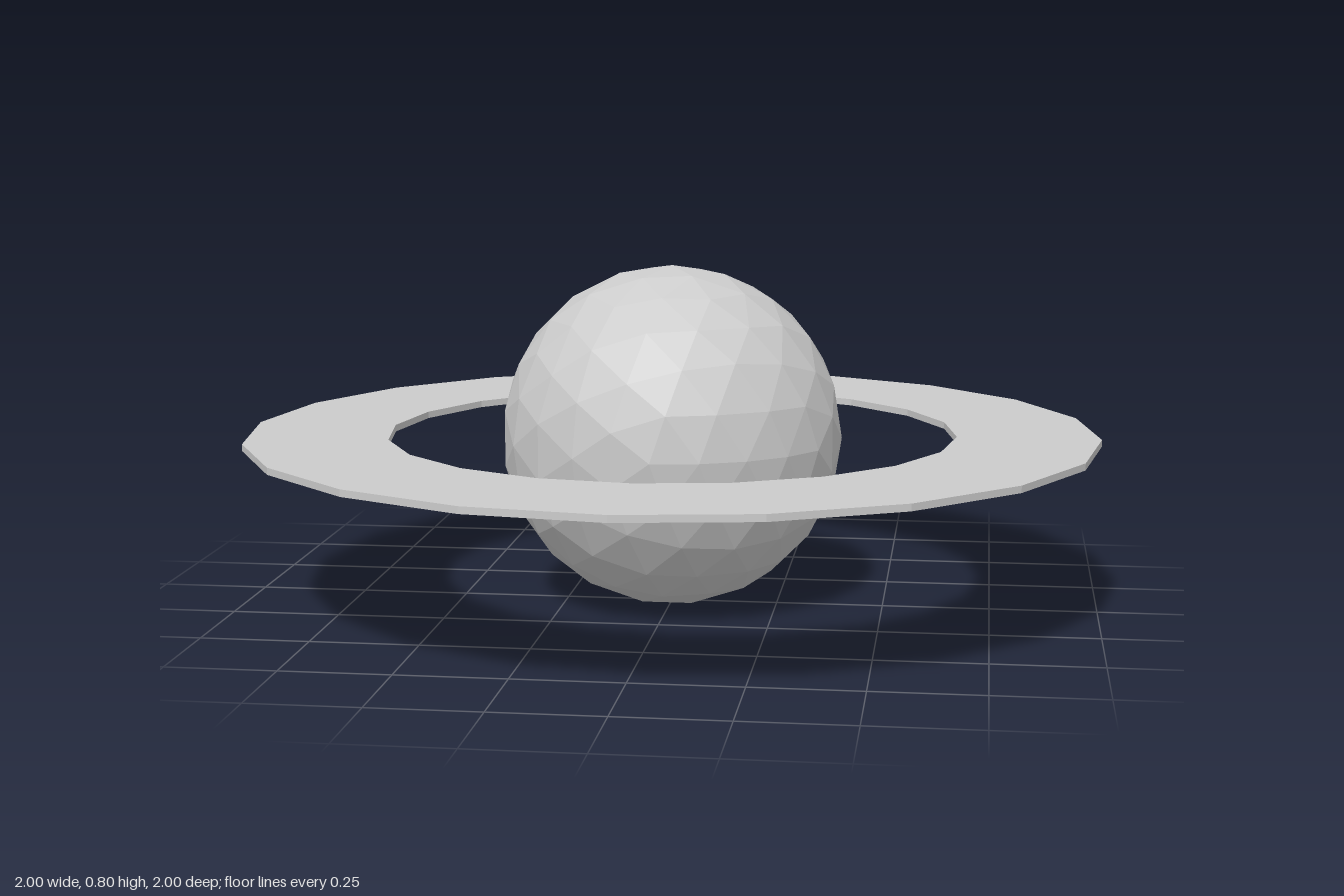
import * as THREE from 'three';

const RADIUS = 0.4;

// Flat-faceted globe: an icosahedron with one vertex facing +z, each triangle halved twice
function globeGeometry() {
  let geo = new THREE.IcosahedronGeometry(1, 0);
  geo.rotateX(Math.atan(2 / (1 + Math.sqrt(5))));
  geo.rotateZ(Math.PI / 2);
  for (let i = 0; i < 2; i++) {
    const corners = Array.from(geo.attributes.position.array);
    const order = Array.from({ length: corners.length / 3 }, (_, k) => k);
    geo = new THREE.PolyhedronGeometry(corners, order, RADIUS, 1);
  }
  geo.computeVertexNormals();
  return geo;
}

// Thin 20-sided annulus, a closed rectangular profile turned about y
function ringGeometry(inner, outer, thickness) {
  const h = thickness / 2;
  const profile = [[inner, -h], [outer, -h], [outer, h], [inner, h], [inner, -h]]
    .map(([x, y]) => new THREE.Vector2(x, y));
  const geo = new THREE.LatheGeometry(profile, 20).toNonIndexed();
  geo.computeVertexNormals();
  return geo;
}

export function createModel() {
  const model = new THREE.Group();
  model.name = 'ringedPlanet';
  const material = new THREE.MeshStandardMaterial({ color: 0xcccccc, flatShading: true });

  const planet = new THREE.Mesh(globeGeometry(), material);
  planet.name = 'planet';
  planet.position.y = RADIUS;

  const ring = new THREE.Mesh(ringGeometry(0.667, 1, 0.016), material);
  ring.name = 'ring';
  ring.position.y = RADIUS;

  model.add(planet, ring);
  return model;
}
